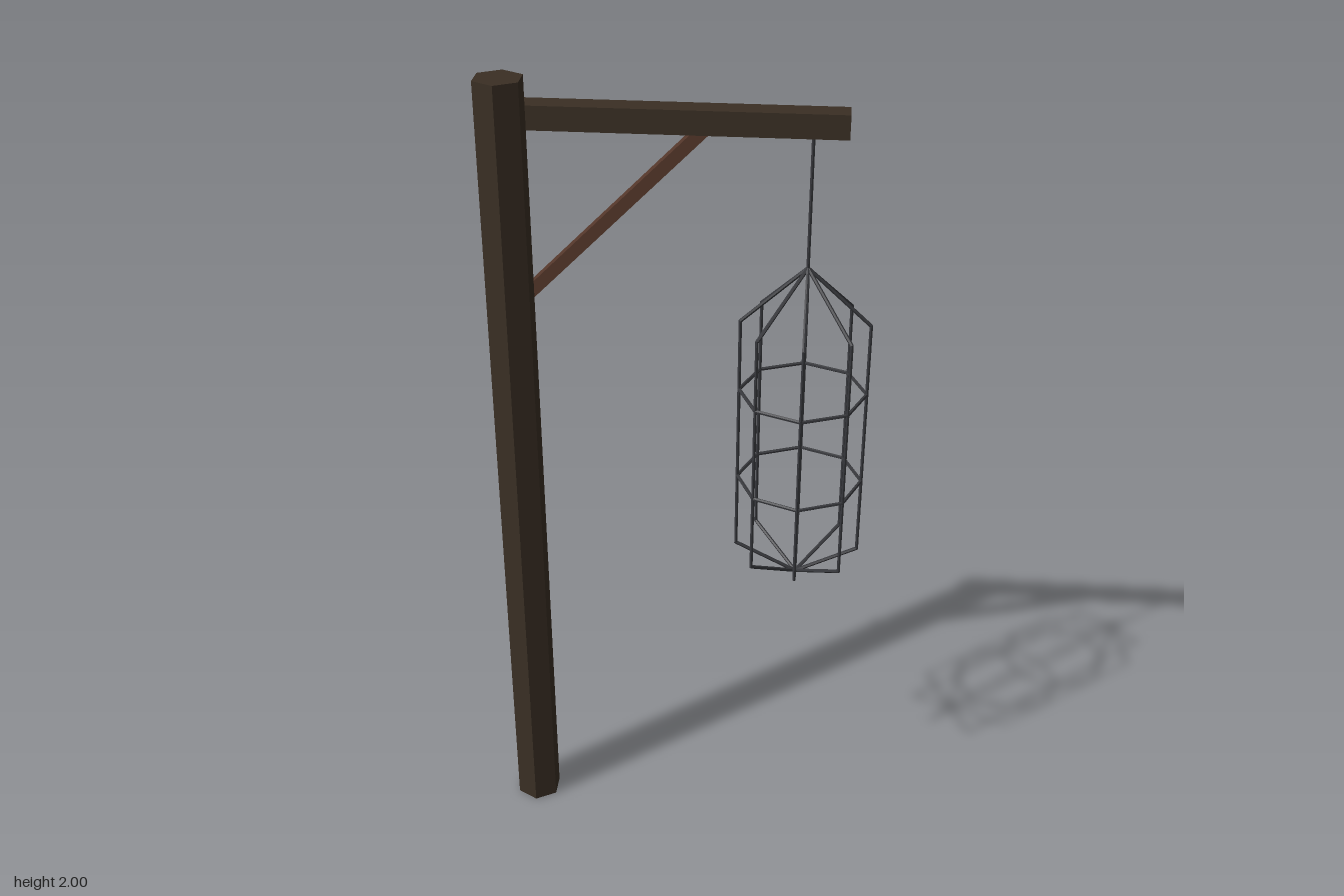
import * as THREE from 'three';

const wood = new THREE.MeshStandardMaterial({ name: 'darkWood', color: 0x3a2f24 });
const braceWood = new THREE.MeshStandardMaterial({ name: 'reddishWood', color: 0x54372a });
const iron = new THREE.MeshStandardMaterial({ name: 'iron', color: 0x37383c });
for (const m of [wood, braceWood, iron]) m.flatShading = true;

const UP = new THREE.Vector3(0, 1, 0);

// Thin straight bar between two points
function rod(name, a, b, radius = 0.0045) {
  const dir = b.clone().sub(a);
  const mesh = new THREE.Mesh(new THREE.CylinderGeometry(radius, radius, dir.length(), 6), iron);
  mesh.name = name;
  mesh.position.copy(a).add(b).multiplyScalar(0.5);
  mesh.quaternion.setFromUnitVectors(UP, dir.normalize());
  return mesh;
}

export function createModel() {
  const model = new THREE.Group();
  model.name = 'hangingCagePost';

  // Hexagonal post
  const post = new THREE.Mesh(new THREE.CylinderGeometry(0.0585, 0.0585, 2, 6), wood);
  post.name = 'post';
  post.position.set(-0.395, 1, 0.058);
  model.add(post);

  // Horizontal arm
  const arm = new THREE.Mesh(new THREE.BoxGeometry(0.76, 0.056, 0.057), wood);
  arm.name = 'arm';
  arm.position.set(-0.015, 1.902, -0.0015);
  model.add(arm);

  // Diagonal brace
  const brace = new THREE.Mesh(new THREE.BoxGeometry(0.64, 0.029, 0.035), braceWood);
  brace.name = 'brace';
  brace.position.set(-0.169, 1.666, -0.0015);
  brace.rotation.z = Math.PI / 4;
  model.add(brace);

  // Eight-sided cage
  const cage = new THREE.Group();
  cage.name = 'cage';
  cage.position.set(0.286, 0, -0.0015);
  model.add(cage);

  const sides = 8, radius = 0.152;
  const corner = (i, y) => {
    const a = (i / sides) * Math.PI * 2;
    return new THREE.Vector3(Math.cos(a) * radius, y, Math.sin(a) * radius);
  };
  const top = new THREE.Vector3(0, 1.56, 0);
  const bottom = new THREE.Vector3(0, 0.725, 0);

  for (let i = 0; i < sides; i++) {
    cage.add(
      rod('roofBar', top, corner(i, 1.42)),
      rod('uprightBar', corner(i, 1.422), corner(i, 0.8)),
      rod('floorBar', corner(i, 0.802), bottom)
    );
    for (const y of [1.0, 1.24]) cage.add(rod('hoopBar', corner(i, y), corner(i + 1, y)));
  }

  // Hanger from arm to cage
  cage.add(rod('hanger', top, new THREE.Vector3(0, 1.885, 0)));

  return model;
}
